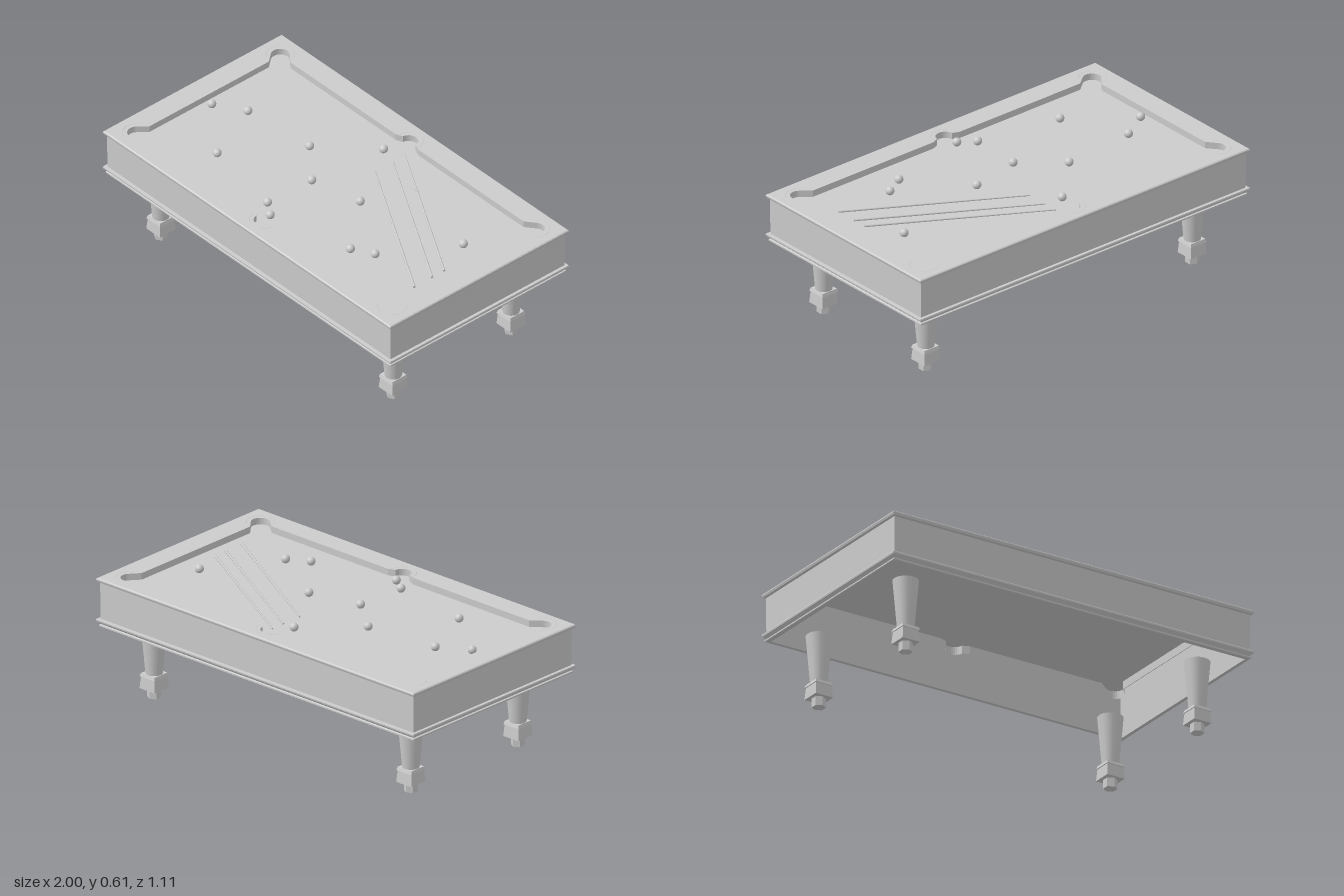
import * as THREE from 'three';

const RAIL = 0.603, BED = 0.57, SKIRT = 0.53;
const HX = 1, HZ = 0.555;

function makeMaterial(extra = {}) {
  return new THREE.MeshStandardMaterial({ color: 0xcccccc, ...extra });
}

// Rectangular frame swept from a profile of [inset, height] points, with crisp edges
function frameGeometry(profile) {
  const pos = [];
  const corner = ([d, y], k) => {
    const sx = [1, 1, -1, -1][k % 4], sz = [1, -1, -1, 1][k % 4];
    return [sx * (HX - d), y, sz * (HZ - d)];
  };
  for (let i = 0; i < profile.length - 1; i++) {
    for (let k = 0; k < 4; k++) {
      const a = corner(profile[i], k), b = corner(profile[i], k + 1);
      const c = corner(profile[i + 1], k + 1), d = corner(profile[i + 1], k);
      pos.push(...a, ...d, ...c, ...a, ...c, ...b);
    }
  }
  const g = new THREE.BufferGeometry();
  g.setAttribute('position', new THREE.Float32BufferAttribute(pos, 3));
  g.computeVertexNormals();
  return g;
}

// Outline of the playing area with six pockets, counter-clockwise in (x, z)
function playOutline() {
  const quarter = [];
  const arc = (cx, cz, r, a0, a1, n) => {
    for (let i = 0; i <= n; i++) {
      const a = THREE.MathUtils.degToRad(a0 + ((a1 - a0) * i) / n);
      quarter.push([cx + r * Math.cos(a), cz + r * Math.sin(a)]);
    }
  };
  quarter.push([0.882, 0.37]);
  arc(0.887, 0.445, 0.044, -40, 130, 14);
  quarter.push([0.81, 0.44], [0.08, 0.44]);
  arc(0, 0.45, 0.045, 5, 90, 7);
  const left = quarter.map(([x, z]) => [-x, z]).reverse().slice(1);
  const half = [...quarter, ...left];
  return [...half, ...half.map(([x, z]) => [-x, -z])].map(([x, z]) => new THREE.Vector2(x, z));
}

// Vertical band following an outline
function bandGeometry(points, top, bottom) {
  const pos = [];
  points.forEach((p, i) => {
    const q = points[(i + 1) % points.length];
    pos.push(p.x, top, p.y, q.x, top, q.y, q.x, bottom, q.y);
    pos.push(p.x, top, p.y, q.x, bottom, q.y, p.x, bottom, p.y);
  });
  const g = new THREE.BufferGeometry();
  g.setAttribute('position', new THREE.Float32BufferAttribute(pos, 3));
  g.computeVertexNormals();
  return g;
}

function flatPlate(shape, y) {
  // Mirroring is harmless: the outline is symmetric in z
  return new THREE.ShapeGeometry(shape).rotateX(-Math.PI / 2).translate(0, y, 0);
}

export function createModel() {
  const group = new THREE.Group();
  const smooth = makeMaterial();
  const flat = makeMaterial({ flatShading: true });
  const thin = makeMaterial({ side: THREE.DoubleSide });

  const add = (name, geometry, material, parent = group) => {
    const mesh = new THREE.Mesh(geometry, material);
    mesh.name = name;
    parent.add(mesh);
    return mesh;
  };

  // Cabinet: rail lip, side panels, base moulding and inner wall
  add('cabinet', frameGeometry([
    [0.006, RAIL], [0.001, 0.599], [0, 0.594], [0.004, 0.584], [0.014, 0.58],
    [0.016, 0.397], [0.002, 0.397], [0, 0.392], [0.002, 0.384], [0.006, 0.382],
    [0.018, 0.37], [0.01, 0.367], [0.01, 0.36], [0.014, 0.357],
    [0.032, 0.357], [0.032, RAIL - 0.003],
  ]), thin);

  // Rail top with the playing area cut out
  const outline = playOutline();
  const w = HX - 0.006, h = HZ - 0.006;
  const railShape = new THREE.Shape([[-w, -h], [w, -h], [w, h], [-w, h]].map((p) => new THREE.Vector2(...p)));
  railShape.holes.push(new THREE.Path(outline));
  add('railTop', flatPlate(railShape, RAIL), thin);
  add('cushions', bandGeometry(outline, RAIL, SKIRT), thin);
  add('playingBed', flatPlate(new THREE.Shape(outline), BED), thin);

  // Slim trim arcs around the pockets
  const trims = new THREE.Group();
  trims.name = 'pocketTrims';
  group.add(trims);
  const addTrim = (x, z, middle, sweep) => {
    const g = new THREE.TorusGeometry(0.067, 0.003, 6, 24, sweep)
      .rotateZ(-sweep / 2).rotateX(Math.PI / 2).rotateY(-middle).translate(x, RAIL - 0.002, z);
    add('pocketTrim', g, smooth, trims);
  };
  for (const sz of [-1, 1]) {
    addTrim(0, sz * 0.45, (sz * Math.PI) / 2, Math.PI);
    for (const sx of [-1, 1]) addTrim(sx * 0.887, sz * 0.445, Math.atan2(sz, sx), Math.PI * 1.2);
  }

  // Legs: tapered post, collar, flared block and small foot
  const tapered = (rTop, rBottom, y0, y1, sides) =>
    new THREE.CylinderGeometry(rTop, rBottom, y1 - y0, sides).translate(0, (y0 + y1) / 2, 0);
  const square = (halfTop, halfBottom, y0, y1) =>
    tapered(halfTop * Math.SQRT2, halfBottom * Math.SQRT2, y0, y1, 4).rotateY(Math.PI / 4);
  for (const sx of [-1, 1]) {
    for (const sz of [-1, 1]) {
      const leg = new THREE.Group();
      leg.name = 'leg';
      leg.position.set(sx * 0.808, 0, sz * 0.365);
      add('legPost', tapered(0.062, 0.041, 0.12, 0.362, 16), smooth, leg);
      add('legCollar', square(0.043, 0.048, 0.105, 0.121), flat, leg);
      add('legBlock', square(0.043, 0.048, 0.045, 0.105), flat, leg);
      add('foot', tapered(0.033, 0.033, 0, 0.045, 6), flat, leg);
      group.add(leg);
    }
  }

  // Balls scattered on the bed
  const ballGeometry = new THREE.SphereGeometry(0.021, 20, 14);
  const spots = [
    [-0.045, -0.335], [-0.29, -0.095], [-0.68, -0.06], [-0.83, 0.03], [-0.09, 0.07], [0.18, 0.01],
    [0.74, -0.13], [-0.535, 0.26], [-0.1, 0.335], [-0.02, 0.39], [0.42, 0.285], [0.525, 0.225],
  ];
  for (const [x, z] of spots) add('ball', ballGeometry, smooth).position.set(x, BED + 0.021, z);

  // Three parallel cues lying on the bed
  const from = new THREE.Vector3(0.04, 0, 0), to = new THREE.Vector3(0.82, 0, 0.45);
  const run = to.clone().sub(from);
  for (const z of [-0.39, -0.315, -0.205]) {
    const cue = add('cue', new THREE.CylinderGeometry(0.006, 0.004, run.length(), 10), smooth);
    cue.position.copy(from).addScaledVector(run, 0.5).add(new THREE.Vector3(0, BED + 0.006, z));
    cue.quaternion.setFromUnitVectors(new THREE.Vector3(0, 1, 0), run.clone().normalize());
  }

  return group;
}
